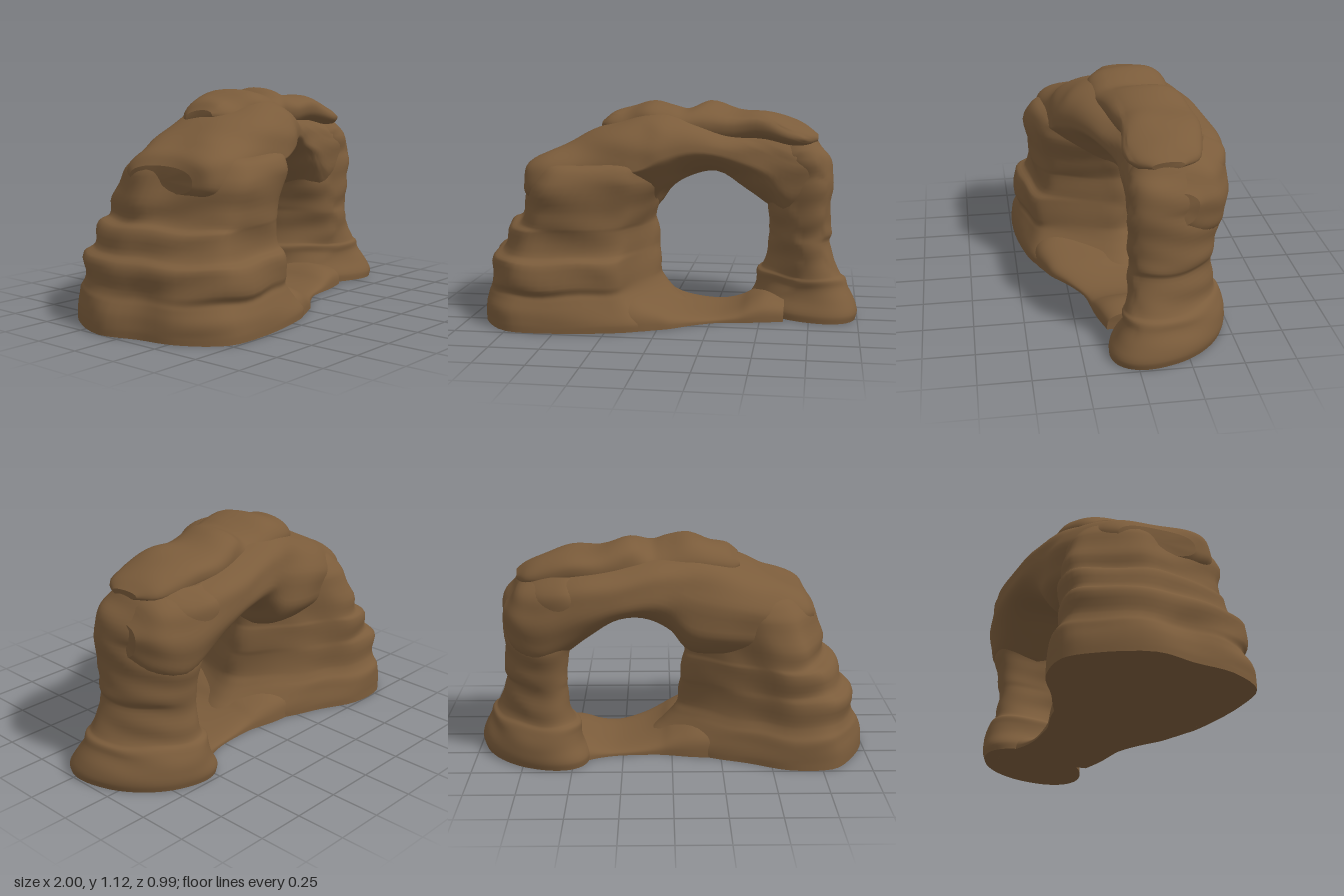
import * as THREE from 'three';

const N = 64; // points around each cross-section

// Closed smooth outline through a few [u, v] points
function outline(points) {
  const curve = new THREE.CatmullRomCurve3(points.map(([u, v]) => new THREE.Vector3(u, 0, v)), true);
  return Array.from({ length: N }, (_, i) => { const p = curve.getPoint(i / N); return [p.x, p.z]; });
}

// Rounded square outline from -1 to 1; a skew leans it along its diagonal
function rounded(power, skew = 0) {
  const f = (c) => Math.sign(c) * Math.abs(c) ** power;
  return Array.from({ length: N }, (_, i) => {
    const a = (i / N) * Math.PI * 2;
    return [f(Math.cos(a)), f(Math.sin(a + skew))];
  });
}

const mix = (a, b, t) => a + (b - a) * (t + 1) / 2;

// Weathering: gentle bumps and horizontal strata, fading out at the ground
function weather(p) {
  const k = Math.min(1, Math.max(0, p.y - 0.04) * 8);
  const { x, y, z } = p;
  const strata = 0.004 * Math.sin(y * 42 + 2 * Math.sin(x * 5 + z * 4));
  p.x += k * (0.008 * Math.sin(13 * z + 9 * y) + strata * Math.sign(x - 0.25));
  p.z += k * (0.008 * Math.sin(14 * x + 11 * y + 1) + strata * Math.sign(z));
  p.y += k * 0.008 * Math.sin(15 * x + 1) * Math.cos(13 * z);
  return p;
}

// Skin a stack of rings smoothly and close both ends
function loft(name, rings, material, sub = 4) {
  const rows = (rings.length - 1) * sub;
  const columns = rings[0].map((_, i) => new THREE.CatmullRomCurve3(rings.map((r) => r[i])));
  const grid = [];
  for (let j = 0; j <= rows; j++) grid.push(columns.map((c) => weather(c.getPoint(j / rows))));
  const pos = [], index = [];
  const add = (p) => pos.push(p.x, p.y, p.z) / 3 - 1;
  grid.forEach((row) => row.forEach(add));
  for (let j = 0; j < rows; j++) for (let i = 0; i < N; i++) {
    const a = j * N + i, b = j * N + (i + 1) % N;
    index.push(a, b, a + N, b, b + N, a + N);
  }
  [grid[0], grid[rows]].forEach((row, end) => {
    const centre = row.reduce((s, p) => s.add(p), new THREE.Vector3()).divideScalar(N);
    const c = add(centre), first = row.map(add)[0];
    for (let i = 0; i < N; i++) {
      const a = first + i, b = first + (i + 1) % N;
      index.push(...(end ? [c, a, b] : [c, b, a]));
    }
  });
  // Turn every face outward
  let volume = 0;
  const P = (i) => new THREE.Vector3().fromArray(pos, i * 3);
  for (let i = 0; i < index.length; i += 3) volume += P(index[i]).dot(P(index[i + 1]).cross(P(index[i + 2])));
  if (volume < 0) index.reverse();
  const g = new THREE.BufferGeometry();
  g.setAttribute('position', new THREE.Float32BufferAttribute(pos, 3));
  g.setIndex(index);
  g.computeVertexNormals();
  const mesh = new THREE.Mesh(g, material);
  mesh.name = name;
  return mesh;
}

// Levels [y, x0, x1, z0, z1] stacked upward
const stack = (plan, levels) => levels.map(([y, x0, x1, z0, z1]) =>
  plan.map(([u, v]) => new THREE.Vector3(mix(x0, x1, u), y, mix(z0, z1, v))));

// Slices [x, y0, y1, z0, z1, lift] along x; lift raises the lower front edge
const span = (shape, slices) => slices.map(([x, y0, y1, z0, z1, lift = 0]) =>
  shape.map(([u, v]) => new THREE.Vector3(x,
    mix(y0, y1, v) + (v < 0 ? lift * Math.max(0, u) * -v : 0), mix(z0, z1, u))));

export function createModel() {
  const model = new THREE.Group();
  model.name = 'rockArch';
  const rock = new THREE.MeshStandardMaterial({ color: 0x7b5c3b });
  rock.name = 'brownRock';

  // Broad left buttress with ledges and a bevelled wall beside the opening
  const leftPlan = outline([[-1, -.25], [-.82, -.76], [-.64, -.98], [-.27, -1], [.1, -.82],
    [.45, -.67], [.8, -.43], [1, -.17], [.92, .16], [.74, .62], [.62, .8], [.35, .91], [-.18, 1],
    [-.55, .96], [-.82, .57], [-.9, .16]]);
  model.add(loft('leftButtress', stack(leftPlan, [
    [0, -1, .12, -.49, .49], [.04, -1, .12, -.49, .49], [.1, -.99, .05, -.49, .48],
    [.15, -.965, 0, -.48, .46], [.18, -.95, -.02, -.46, .445], [.22, -.945, -.04, -.45, .46],
    [.33, -.94, -.05, -.45, .45], [.37, -.89, -.05, -.43, .39], [.48, -.85, -.06, -.43, .385],
    [.51, -.79, -.06, -.41, .385], [.6, -.77, -.04, -.4, .39], [.72, -.73, 0, -.37, .4],
    [.77, -.7, 0, -.34, .38], [.81, -.66, 0, -.31, .34], [.84, -.56, -.08, -.25, .24],
  ]), rock));

  // Slimmer right pillar on a stepped foot, skewed in plan
  model.add(loft('rightPillar', stack(rounded(0.95, 0.46), [
    [0, .42, .99, -.48, .12], [.04, .42, 1, -.49, .12], [.1, .45, .98, -.48, .08],
    [.16, .46, .95, -.46, .05], [.2, .47, .93, -.45, .045], [.22, .5, .9, -.43, .03],
    [.3, .52, .87, -.42, .02], [.39, .53, .84, -.42, .02], [.43, .52, .86, -.42, .02],
    [.5, .52, .85, -.43, .03], [.6, .49, .86, -.44, .03], [.7, .43, .87, -.43, .02],
    [.75, .42, .87, -.45, .01], [.84, .37, .84, -.48, .01], [.9, .4, .79, -.46, -.02],
    [.96, .45, .74, -.38, -.06],
  ]), rock));

  // Bridge over the opening, running down into the left shoulder
  model.add(loft('archSpan', span(rounded(0.8), [
    [-.71, .65, .78, -.18, .22], [-.67, .6, .835, -.25, .3], [-.58, .54, .88, -.3, .34],
    [-.48, .5, .925, -.35, .34, .2], [-.38, .5, .97, -.37, .32, .22], [-.25, .5, 1.02, -.39, .3, .24],
    [-.1, .52, 1.07, -.4, .29, .24], [0, .64, 1.07, -.41, .28, .15], [.1, .715, 1.05, -.44, .21, .1],
    [.25, .735, 1.01, -.48, .1, .08], [.4, .65, .99, -.49, .03, .1], [.52, .56, .98, -.48, .02, .1],
    [.65, .5, .96, -.46, .02], [.76, .56, .91, -.41, 0], [.83, .66, .82, -.3, -.08],
  ]), rock));

  // Overhanging cap ridge with a lumpy crest
  model.add(loft('capRidge', span(rounded(0.9), [
    [-.34, .96, 1.02, -.18, .0], [-.29, .92, 1.065, -.24, .04], [-.2, .9, 1.09, -.28, .08],
    [-.08, .9, 1.12, -.3, .12], [.03, .9, 1.095, -.31, .11], [.1, .9, 1.08, -.32, .09],
    [.2, .9, 1.115, -.34, .05], [.35, .9, 1.075, -.36, .03], [.5, .9, 1.07, -.37, .02],
    [.62, .89, 1.03, -.36, .02], [.72, .89, .99, -.32, -.01], [.77, .91, .95, -.23, -.08],
  ]), rock));

  // Curved sill joining the feet: [x, top, back, front]
  const sillSlices = [[-.22, .16, -.33, .41], [-.1, .15, -.32, .395], [0, .115, -.3, .35],
    [.06, .08, -.29, .32], [.15, .05, -.29, .25], [.28, .035, -.3, .175], [.38, .055, -.33, .155],
    [.45, .09, -.37, .145], [.52, .11, -.4, .13], [.62, .1, -.4, .1]];
  const sillShape = rounded(0.6).map(([u, v]) => [u, Math.max(0, v)]);
  model.add(loft('sill', sillSlices.map(([x, top, z0, z1]) =>
    sillShape.map(([u, v]) => new THREE.Vector3(x, top * v, mix(z0, z1, u)))), rock));
  return model;
}
